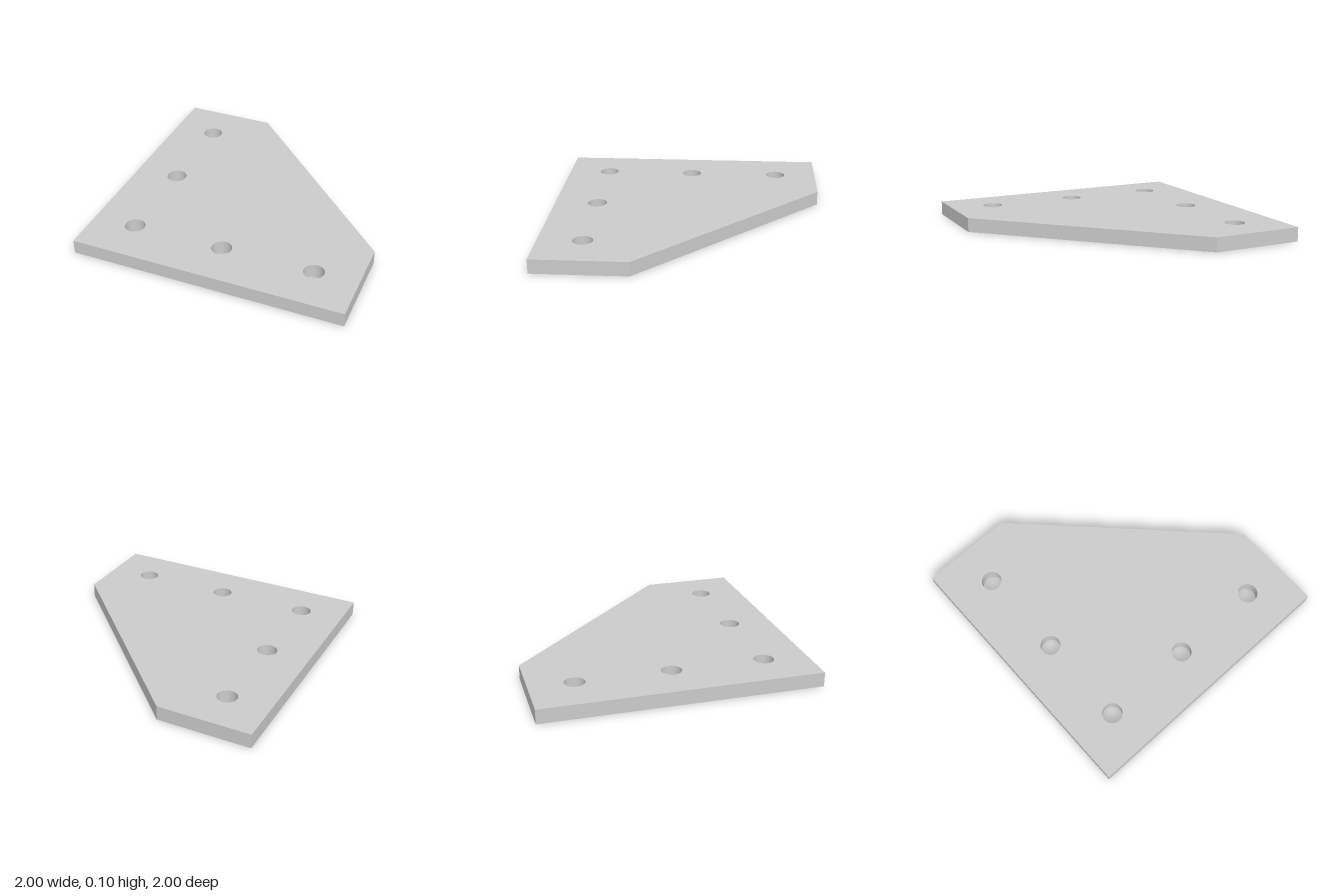
import * as THREE from 'three';
import { toCreasedNormals } from 'three/addons/utils/BufferGeometryUtils.js';

const THICKNESS = 0.105;
const HOLE_RADIUS = 0.073;
const PITCH = 0.68; // spacing of the holes along both legs
const CUT = 0.32; // where the diagonal edge meets the straight ends

export function createModel() {
  // Plate outline, drawn flat with shape y = -z
  const outline = new THREE.Shape([
    new THREE.Vector2(-1, -1),
    new THREE.Vector2(1, -1),
    new THREE.Vector2(1, -CUT),
    new THREE.Vector2(-CUT, 1),
    new THREE.Vector2(-1, 1),
  ]);

  // Bolt holes: one at the corner, two more along each leg
  const centres = [[-PITCH, -PITCH], [0, -PITCH], [PITCH, -PITCH], [-PITCH, 0], [-PITCH, PITCH]];
  for (const [x, y] of centres) {
    outline.holes.push(new THREE.Path().absarc(x, y, HOLE_RADIUS, 0, Math.PI * 2, true));
  }

  // Extrude, lay flat, and smooth only the hole walls
  const geometry = new THREE.ExtrudeGeometry(outline, {
    depth: THICKNESS,
    bevelEnabled: false,
    curveSegments: 48,
  });
  geometry.rotateX(-Math.PI / 2);

  const plate = new THREE.Mesh(
    toCreasedNormals(geometry, 0.5),
    new THREE.MeshStandardMaterial({ color: 0xcccccc })
  );
  plate.name = 'cornerPlate';

  const model = new THREE.Group();
  model.name = 'cornerBracket';
  model.add(plate);
  return model;
}
